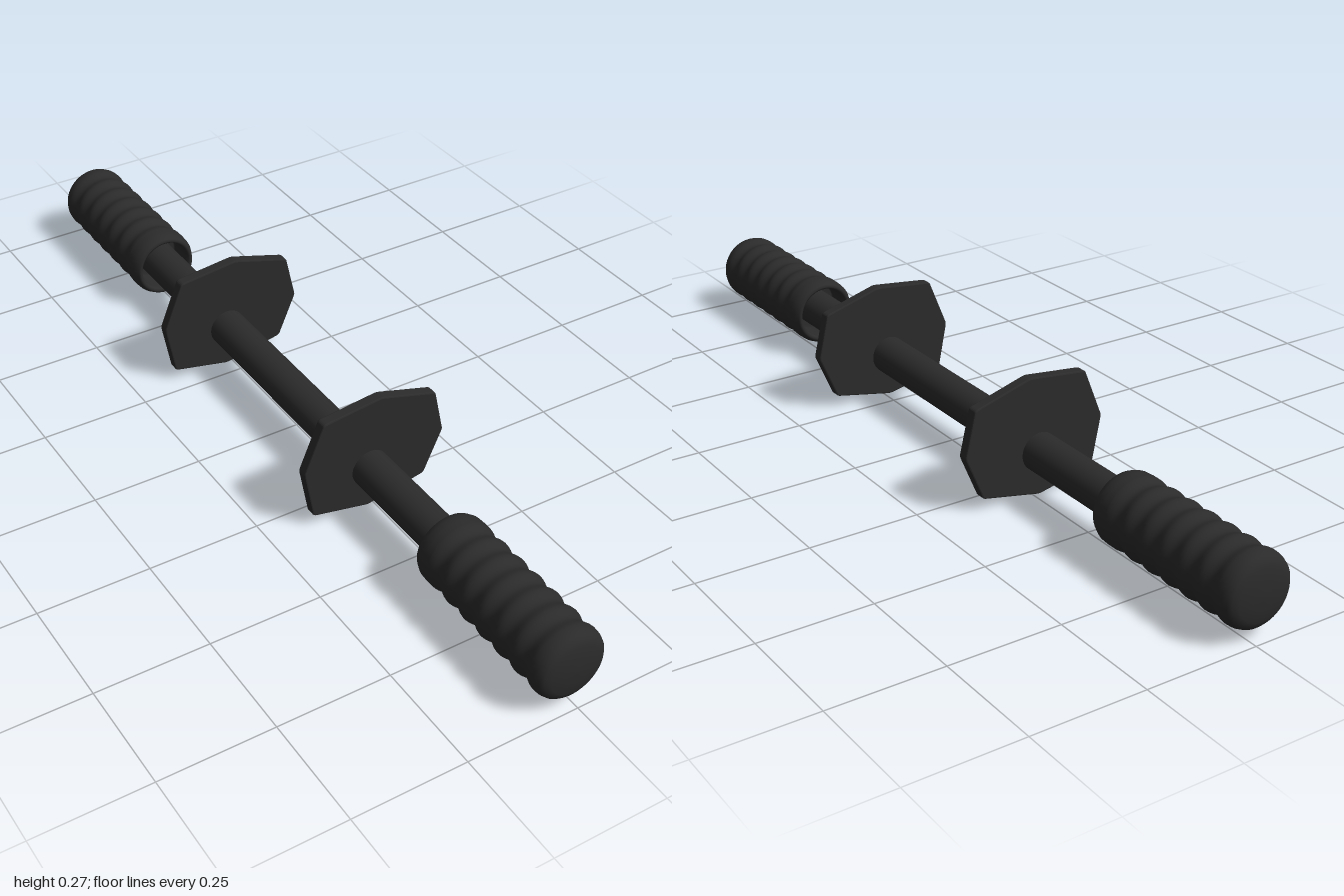
import * as THREE from 'three';

const AXIS_X = -0.012, AXIS_Y = 0.102;

// Outline of the guard plates, counter-clockwise
const PLATE = [
  [-0.014, 0.001], [0.127, 0.029], [0.171, 0.13], [0.148, 0.234],
  [0.014, 0.273], [-0.125, 0.257], [-0.171, 0.145], [-0.149, 0.029],
];

// Polygon with slightly rounded corners
function plateShape() {
  const pts = PLATE.map(([x, y]) => new THREE.Vector2(x, y));
  const shape = new THREE.Shape();
  pts.forEach((p, i) => {
    const prev = pts[(i + pts.length - 1) % pts.length], next = pts[(i + 1) % pts.length];
    const a = p.clone().lerp(prev, 0.05), b = p.clone().lerp(next, 0.05);
    if (i === 0) shape.moveTo(a.x, a.y);
    else shape.lineTo(a.x, a.y);
    shape.quadraticCurveTo(p.x, p.y, b.x, b.y);
  });
  shape.closePath();
  return shape;
}

// Ribbed sleeve, hollow at the inner end and domed at the outer end
function gripGeometry() {
  const profile = [
    [0.03, 0.66], [0.058, 0.66], [0.06, 0.655], [0.06, 0.6], [0.063, 0.591],
    [0.068, 0.588], [0.073, 0.591], [0.079, 0.605], [0.08, 0.62], [0.08, 0.635],
  ];
  const ribs = 6, steps = 8, start = 0.637, pitch = 0.054;
  for (let i = 0; i <= ribs * steps; i++) {
    const t = i / steps;
    profile.push([0.08 - 0.007 * Math.sin(Math.PI * t) ** 2, start + t * pitch]);
  }
  profile.push([0.079, 0.972], [0.075, 0.983], [0.068, 0.99], [0.056, 0.995], [0.03, 0.999], [0, 1]);
  return new THREE.LatheGeometry(profile.map(([r, y]) => new THREE.Vector2(r, y)), 48);
}

export function createModel() {
  const group = new THREE.Group();
  group.name = 'grippedBar';
  const black = new THREE.MeshStandardMaterial({ color: 0x2b2b2b });
  black.name = 'matteBlack';

  const add = (name, geometry, x, y, z) => {
    const mesh = new THREE.Mesh(geometry, black);
    mesh.name = name;
    mesh.position.set(x, y, z);
    group.add(mesh);
    return mesh;
  };

  // Straight central bar, running into both grips
  const bar = add('bar', new THREE.CylinderGeometry(0.043, 0.043, 1.36, 40), AXIS_X, AXIS_Y, 0);
  bar.rotation.x = Math.PI / 2;

  // Guard plates and grips at each end
  const bevel = 0.003, depth = 0.019;
  const plate = new THREE.ExtrudeGeometry(plateShape(), {
    depth, bevelEnabled: true, bevelThickness: bevel, bevelSize: bevel, bevelOffset: -bevel,
    bevelSegments: 2, curveSegments: 4,
  });
  plate.translate(0, 0, -depth / 2);
  const grip = gripGeometry();
  for (const [side, label] of [[1, 'front'], [-1, 'back']]) {
    add(label + 'Plate', plate, 0, 0, side * 0.3);
    add(label + 'Grip', grip, AXIS_X, AXIS_Y, 0).rotation.x = side * Math.PI / 2;
  }
  return group;
}
